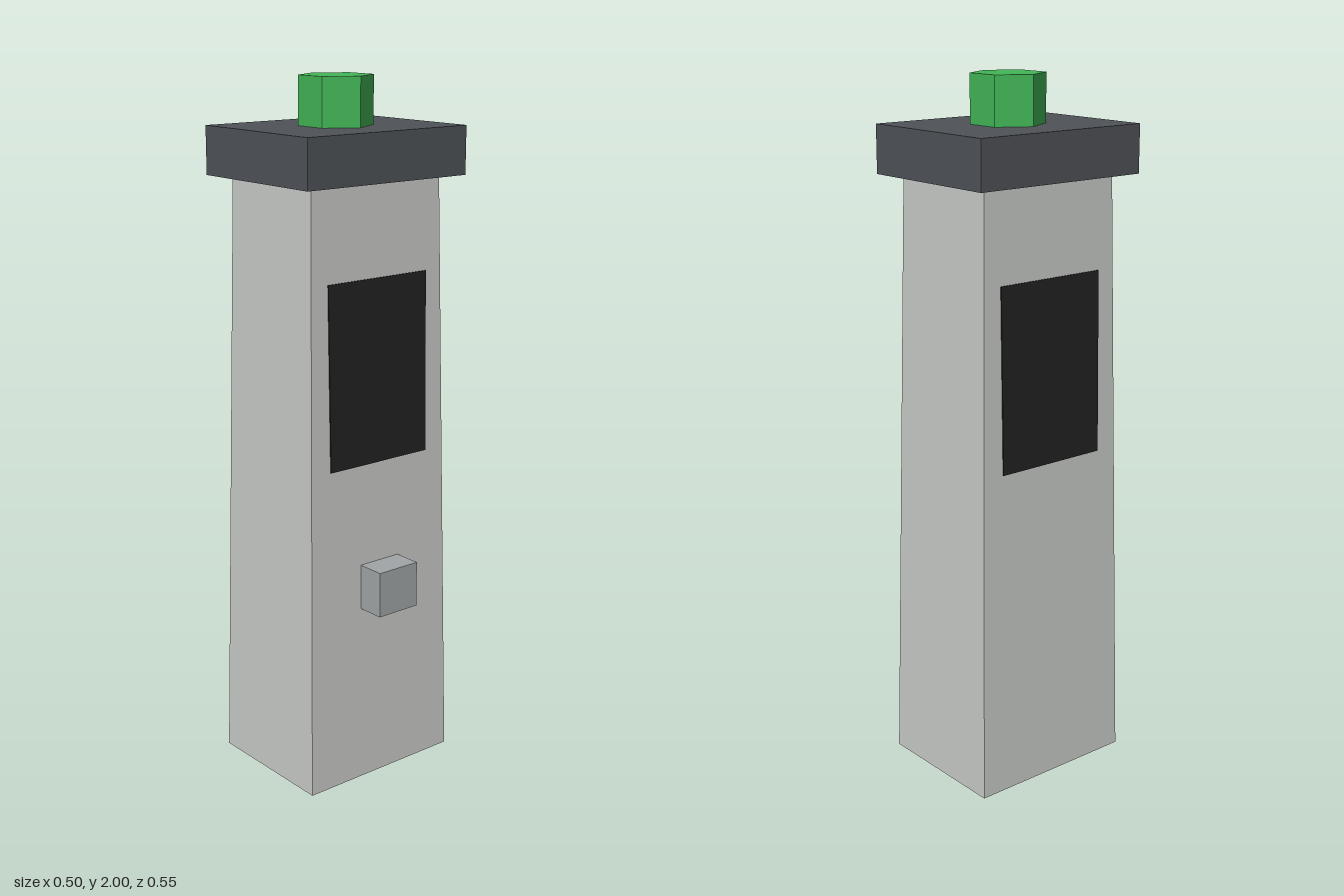
import * as THREE from 'three';

const CX = -0.027;            // tower axis; the knob offsets the overall centre
const BODY_H = 1.73;
const BOTTOM = { x: 0.206, z: 0.258 };
const TOP = { x: 0.173, z: 0.225 };

const flat = (name, color) => {
  const m = new THREE.MeshStandardMaterial({ color });
  m.name = name;
  return m;
};

export function createModel() {
  const group = new THREE.Group();
  const mats = {
    body: flat('paleGrey', 0xc9cbc7),
    cap: flat('darkSlate', 0x4f5358),
    lamp: flat('green', 0x42b656),
    screen: flat('black', 0x222222),
    knob: flat('midGrey', 0xa2a6a8),
  };

  const add = (name, geometry, material, x, y, z = 0) => {
    const mesh = new THREE.Mesh(geometry, material);
    mesh.name = name;
    mesh.position.set(x, y, z);
    group.add(mesh);
    return mesh;
  };

  // Tapered rectangular body
  const body = new THREE.BoxGeometry(2, BODY_H, 2);
  const p = body.attributes.position;
  for (let i = 0; i < p.count; i++) {
    const s = p.getY(i) > 0 ? TOP : BOTTOM;
    p.setX(i, p.getX(i) * s.x);
    p.setZ(i, p.getZ(i) * s.z);
  }
  body.computeVertexNormals();
  add('body', body, mats.body, CX, BODY_H / 2);

  // Overhanging cap
  add('cap', new THREE.BoxGeometry(0.449, 0.135, 0.552), mats.cap, CX, 1.7975);

  // Hexagonal lamp with corners pointing along x
  const lamp = new THREE.CylinderGeometry(0.104, 0.104, 0.135, 6, 1, false, Math.PI / 6).toNonIndexed();
  lamp.computeVertexNormals();
  add('lamp', lamp, mats.lamp, CX, 1.9325);

  // Screens lying on both sloping side faces
  const tilt = Math.atan((BOTTOM.x - TOP.x) / BODY_H);
  const screenY = 1.21;
  const faceX = THREE.MathUtils.lerp(BOTTOM.x, TOP.x, screenY / BODY_H);
  for (const side of [1, -1]) {
    const screen = add(side > 0 ? 'leftScreen' : 'rightScreen',
      new THREE.BoxGeometry(0.006, 0.52, 0.348), mats.screen, CX + side * faceX, screenY);
    screen.rotation.z = side * tilt;
  }

  // Square knob on one side
  add('knob', new THREE.BoxGeometry(0.09, 0.132, 0.138), mats.knob, 0.205, 0.591);

  return group;
}
